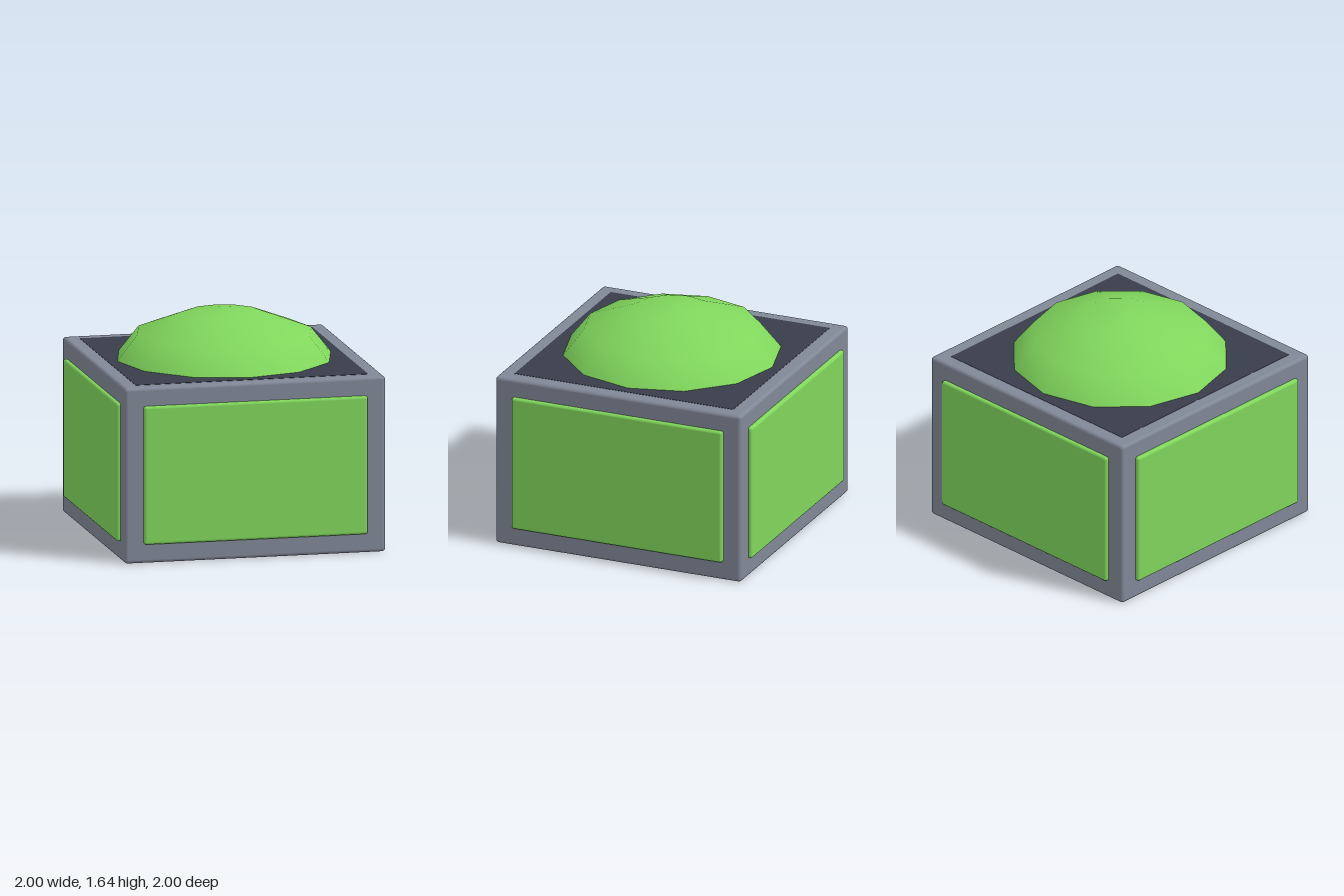
import * as THREE from 'three';
import { RoundedBoxGeometry } from 'three/addons/geometries/RoundedBoxGeometry.js';

export function createModel() {
  const model = new THREE.Group();
  model.name = 'domedBox';

  const green = new THREE.MeshStandardMaterial({ color: 0x80d65c });
  green.name = 'green';
  const grey = new THREE.MeshStandardMaterial({ color: 0x808796 });
  grey.name = 'grey';
  const dark = new THREE.MeshStandardMaterial({ color: 0x383d4a });
  dark.name = 'darkGrey';

  const add = (name, geometry, material, x, y, z) => {
    const mesh = new THREE.Mesh(geometry, material);
    mesh.name = name;
    mesh.position.set(x, y, z);
    model.add(mesh);
    return mesh;
  };

  // Casing with softly rounded edges
  const height = 1.295;
  add('casing', new RoundedBoxGeometry(1.94, height, 1.94, 3, 0.025), grey, 0, height / 2, 0);

  // Raised panel on each of the four sides
  const panel = new RoundedBoxGeometry(1.666, 1.02, 0.1, 3, 0.02);
  ['frontPanel', 'leftPanel', 'backPanel', 'rightPanel'].forEach((name, i) => {
    const a = (i * Math.PI) / 2;
    add(name, panel, green, Math.sin(a) * 0.95, 0.65, Math.cos(a) * 0.95).rotation.y = a;
  });

  // Thin dark plate around the dome
  add('topPlate', new THREE.BoxGeometry(1.73, 0.006, 1.73), dark, 0, height - 0.001, 0);

  // Twelve-sided, smooth-shaded dome
  const profile = [[0.8, 1.28], [0.795, 1.295], [0.645, 1.485], [0.28, 1.622], [0, 1.645]]
    .map(([r, y]) => new THREE.Vector2(r, y));
  add('dome', new THREE.LatheGeometry(profile, 12), green, 0, 0, 0);

  return model;
}
